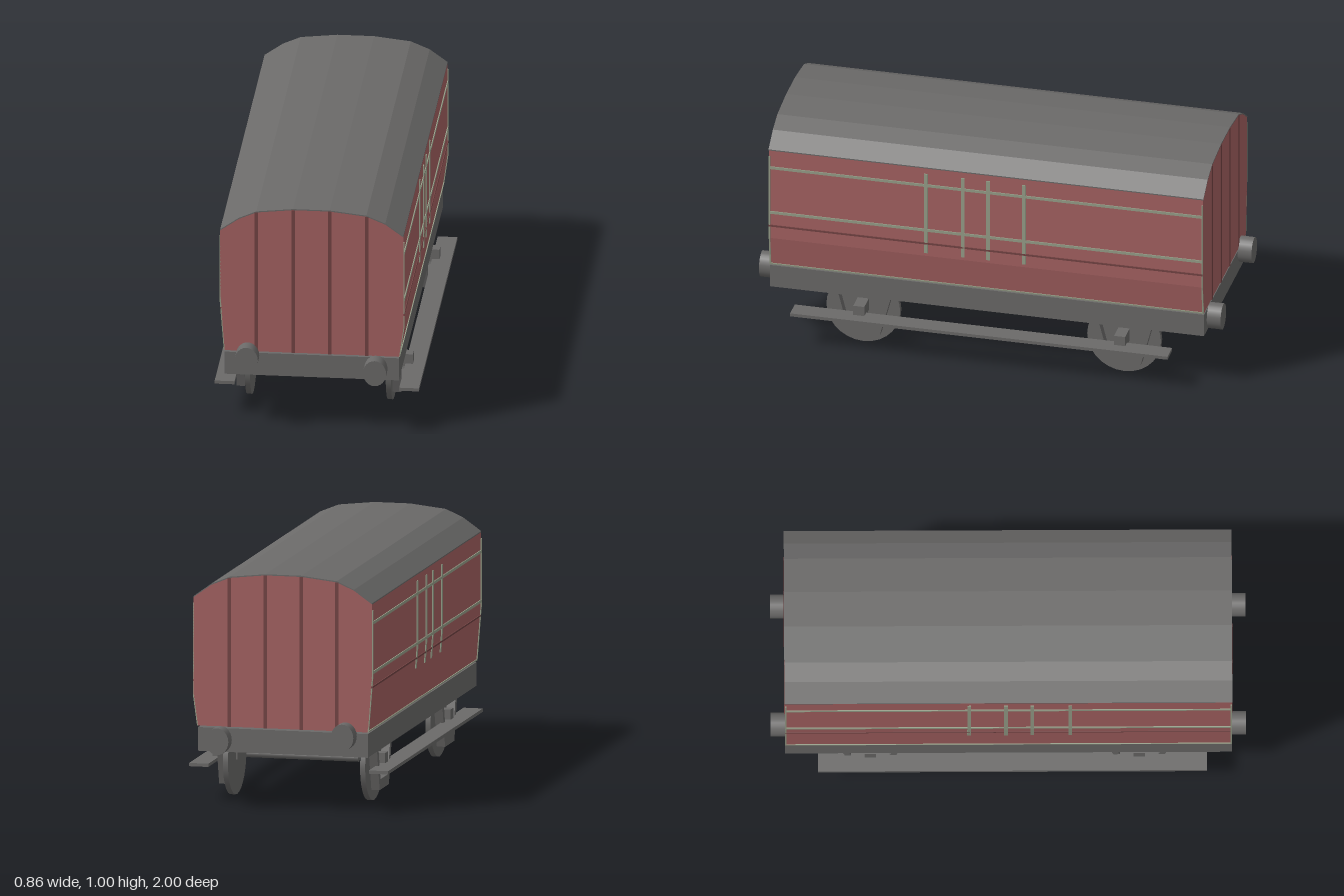
import * as THREE from 'three';

const mat = (name, color) => {
  const m = new THREE.MeshStandardMaterial({ color });
  m.name = name;
  return m;
};

export function createModel() {
  const red = mat('body red', 0xa66262);
  const darkRed = mat('groove dark red', 0x744444);
  const grey = mat('iron grey', 0x6b6a69);
  const pale = mat('trim sage', 0x98a08a);
  const model = new THREE.Group();
  model.name = 'goodsVan';

  const add = (name, geo, material, x = 0, y = 0, z = 0) => {
    const m = new THREE.Mesh(geo, material);
    m.name = name;
    m.position.set(x, y, z);
    model.add(m);
    return m;
  };
  // box given by its limits on each axis
  const box = (name, material, x0, x1, y0, y1, z0, z1) =>
    add(name, new THREE.BoxGeometry(x1 - x0, y1 - y0, z1 - z0), material,
      (x0 + x1) / 2, (y0 + y1) / 2, (z0 + z1) / 2);
  const shapeOf = pts => new THREE.Shape(pts.map(p => new THREE.Vector2(p[0], p[1])));
  const extrude = (pts, depth) =>
    new THREE.ExtrudeGeometry(shapeOf(pts), { depth, bevelEnabled: false });

  const END = 0.94;
  const roofLine = [[0.376, 0.9], [0.3, 0.955], [0.22, 0.988], [0.065, 1.005],
    [-0.09, 1.005], [-0.245, 0.988], [-0.32, 0.955], [-0.398, 0.9]];
  const lower = d => roofLine.map(([x, y]) => [x, y - d]);

  // body with slightly tucked-in sides, and the thin roof skin on it
  add('body', extrude([[-0.379, 0.348], [0.358, 0.348], [0.376, 0.48],
    ...lower(0.005), [-0.398, 0.59]], END * 2), red, 0, 0, -END);
  add('roof', extrude([...roofLine, ...lower(0.005).reverse()], END * 2 + 0.004),
    grey, 0, 0, -END - 0.002);

  // upright grooves on both ends
  for (const [x, top] of [[-0.245, 0.983], [-0.09, 1], [0.065, 1], [0.222, 0.982]]) {
    for (const s of [-1, 1]) {
      add('endGroove', new THREE.BoxGeometry(0.015, top - 0.348, 0.004), darkRed,
        x, (top + 0.348) / 2, s * (END + 0.001));
    }
  }

  // side trim: thin plates following the wall
  const wallX = (side, y) => side > 0
    ? 0.376 - 0.018 * Math.max(0, (0.48 - y) / 0.132)
    : -0.398 + 0.019 * Math.max(0, (0.59 - y) / 0.242);
  const trim = (name, material, side, y0, y1, z0, z1) => {
    const steps = side > 0 ? [y0, 0.48, y1] : [y0, 0.59, y1];
    const ys = steps.filter((y, i) => i !== 1 || (y > y0 && y < y1));
    const outer = ys.map(y => [wallX(side, y) + side * 0.004, y]);
    const inner = ys.map(y => [wallX(side, y) - side * 0.002, y]).reverse();
    add(name, extrude([...outer, ...inner], z1 - z0), material, 0, 0, z0);
  };
  for (const side of [-1, 1]) {
    for (const y of [0.815, 0.603]) trim('sideRail', pale, side, y - 0.006, y + 0.006, -END, END);
    trim('lowerRail', pale, side, 0.348, 0.354, -END, END);
    trim('sideGroove', darkRed, side, 0.536, 0.544, -END, END);
    for (const z of [0.26, 0.1, -0.01, -0.165]) {
      trim('doorStrip', pale, side, 0.495, 0.87, z - 0.008, z + 0.008);
    }
    for (const z of [-END, END - 0.006]) trim('cornerStrip', pale, side, 0.354, 0.87, z, z + 0.006);
  }

  // underframe
  box('underframe', grey, -0.379, 0.357, 0.24, 0.341, -END, END);

  // buffers, one set higher than the other
  for (const [x, y] of [[-0.282, 0.33], [0.26, 0.292]]) {
    for (const s of [-1, 1]) {
      const g = new THREE.CylinderGeometry(0.049, 0.049, 0.065, 24);
      g.rotateX(Math.PI / 2).scale(1, 1.17, 1);
      add('buffer', g, grey, x, y, s * 0.9675);
    }
  }

  // open trapezoid hanger around each axle box
  const hanger = depth => {
    const s = shapeOf([[-0.13, 0.245], [-0.08, 0.055], [0.08, 0.055], [0.13, 0.245]]);
    s.holes.push(new THREE.Path([[-0.1, 0.235], [0.1, 0.235], [0.065, 0.1], [-0.065, 0.1]]
      .map(p => new THREE.Vector2(p[0], p[1]))));
    return new THREE.ExtrudeGeometry(s, { depth, bevelEnabled: false }).rotateY(Math.PI / 2);
  };

  // wheelsets
  for (const z of [0.55, -0.58]) {
    for (const [wheelX, hangX, boxX0, boxX1] of
      [[-0.306, -0.36, -0.37, -0.286], [0.289, 0.3, 0.27, 0.38]]) {
      add('wheel', new THREE.CylinderGeometry(0.16, 0.16, 0.022, 28).rotateZ(Math.PI / 2),
        grey, wheelX, 0.16, z);
      add('axleHanger', hanger(0.036), grey, hangX, 0, z);
      box('axleBox', grey, boxX0, boxX1, 0.15, 0.205, z - 0.024, z + 0.024);
    }
    add('axle', new THREE.CylinderGeometry(0.017, 0.017, 0.485, 14).rotateZ(Math.PI / 2),
      grey, -0.008, 0.176, z);
  }

  // footboards along both sides
  box('footboard', grey, -0.432, -0.348, 0.148, 0.162, -0.8, 0.835);
  box('footboard', grey, 0.348, 0.431, 0.148, 0.162, -0.8, 0.835);

  return model;
}
